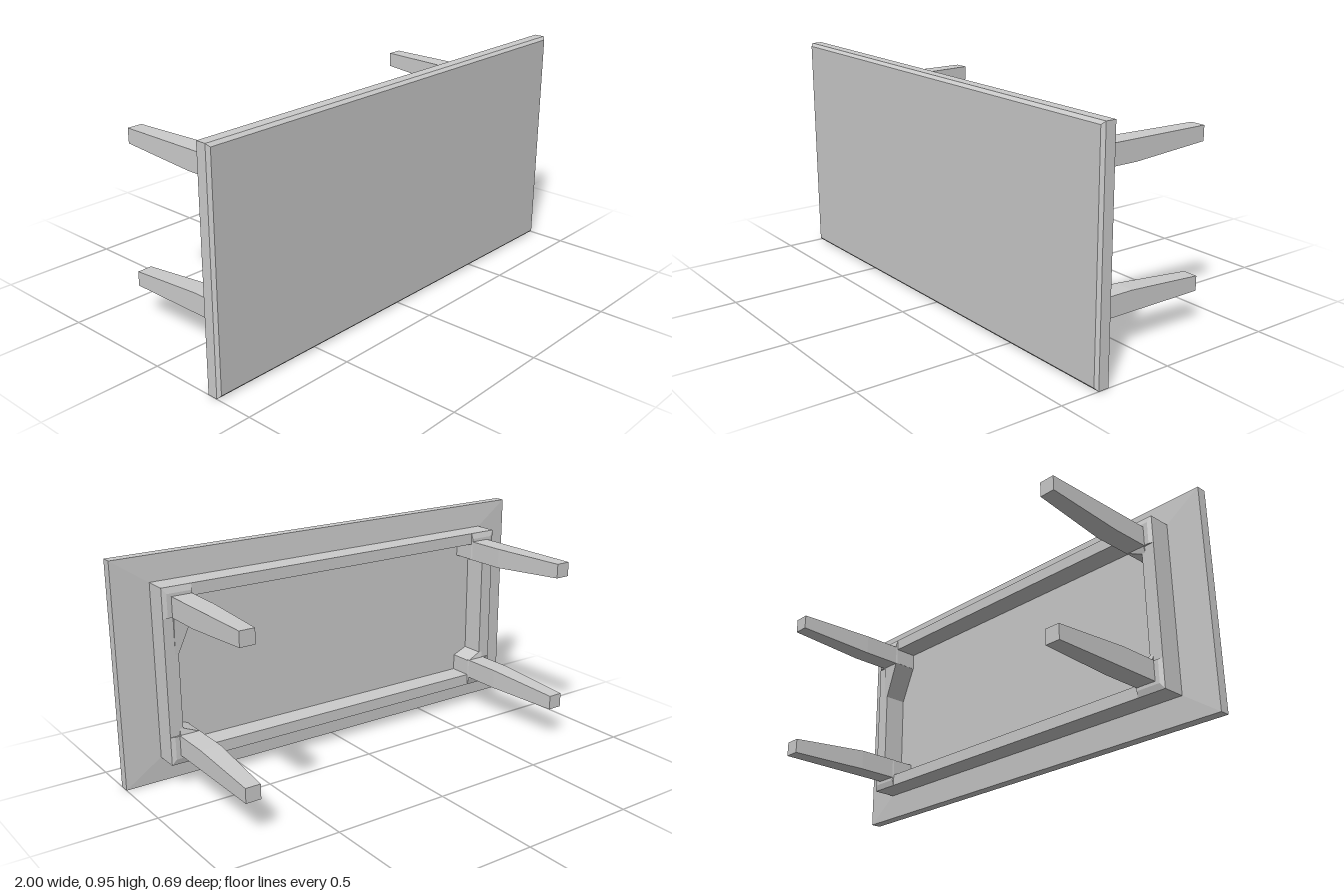
import * as THREE from 'three';
import { ConvexGeometry } from 'three/addons/geometries/ConvexGeometry.js';

const MID = 0.4775; // height of the table's centre line as it lies on its side

export function createModel() {
  const table = new THREE.Group();
  table.name = 'table';
  const material = new THREE.MeshStandardMaterial({ color: 0xcccccc, flatShading: true });

  // Faceted solid through points; sx and sy mirror it (y is measured from MID)
  const solid = (name, points, sx = 1, sy = 1) => {
    const geometry = new ConvexGeometry(
      points.map(([x, y, z]) => new THREE.Vector3(x * sx, MID + y * sy, z)));
    const mesh = new THREE.Mesh(geometry, material);
    mesh.name = name;
    table.add(mesh);
  };
  // Four corners of a rectangle at depth z
  const rect = (x0, x1, y0, y1, z) => [[x0, y0, z], [x1, y0, z], [x1, y1, z], [x0, y1, z]];
  const centred = (w, h, z) => rect(-w, w, -h, h, z);

  // Top board: bevelled face, shallow slope underneath
  solid('tableTop', [
    ...centred(0.988, 0.465, 0.345),
    ...centred(1, 0.4775, 0.333),
    ...centred(1, 0.4775, 0.289),
    ...centred(0.845, 0.37, 0.283),
  ]);

  for (const s of [1, -1]) {
    // Apron rails
    solid('longRail', [
      ...rect(-0.843, 0.843, 0.32, 0.37, 0.285),
      ...rect(-0.843, 0.843, 0.32, 0.37, 0.182),
    ], 1, s);
    solid('endRail', [
      ...rect(0.785, 0.843, -0.37, 0.37, 0.285),
      ...rect(0.785, 0.843, -0.37, 0.37, 0.182),
    ], s, 1);

    for (const t of [1, -1]) {
      // Corner block with a raised shoulder around the leg
      solid('cornerBlock', [
        ...rect(0.715, 0.843, 0.248, 0.37, 0.285),
        ...rect(0.715, 0.843, 0.248, 0.37, 0.182),
        ...rect(0.717, 0.825, 0.248, 0.345, 0.175),
      ], s, t);

      // Brace between corner block and end rail, longest at one corner
      const end = s > 0 && t > 0 ? 0.093 : 0.22;
      solid('cornerBrace', [
        [0.716, 0.248, 0.285], [0.8, 0.248, 0.285], [0.785, end, 0.285], [0.8, end, 0.285],
        [0.716, 0.248, 0.175], [0.8, 0.248, 0.175], [0.785, end, 0.182], [0.8, end, 0.182],
      ], s, t);

      // Leg, straight at the top then tapered on its two inner sides
      solid('leg', [
        ...rect(0.717, 0.805, 0.246, 0.332, 0.19),
        ...rect(0.717, 0.805, 0.246, 0.332, 0),
        ...rect(0.74, 0.805, 0.27, 0.332, -0.345),
      ], s, t);
    }
  }
  return table;
}
